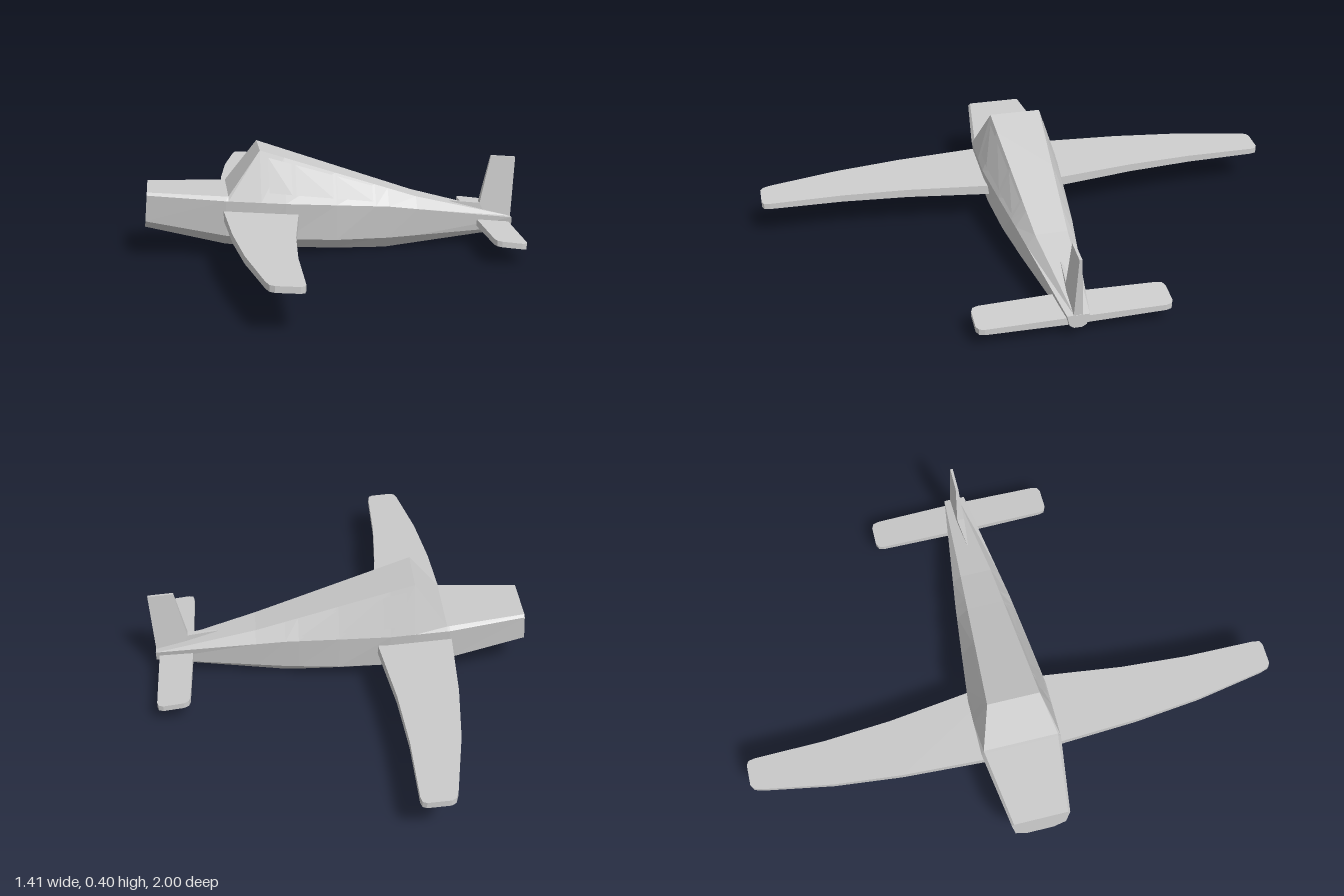
import * as THREE from 'three';

const material = new THREE.MeshStandardMaterial({ color: 0xcccccc, flatShading: true, side: THREE.DoubleSide });

// Lengthwise edges of the body as [x, y, half width]; the nose points to -x
const rails = {
  roof: [[-0.7, 0.255, 0.1], [-0.4, 0.24, 0.14], [-0.28, 0.4, 0.097], [0.15, 0.254, 0.07], [0.31, 0.2, 0.06], [0.69, 0.1, 0.015]],
  shoulder: [[-0.7, 0.245, 0.108], [-0.41, 0.225, 0.15], [-0.18, 0.207, 0.15], [0.2, 0.175, 0.107], [0.69, 0.1, 0.04]],
  chine: [[-0.7, 0.145, 0.095], [-0.41, 0.09, 0.132], [-0.2, 0.07, 0.132], [0, 0.055, 0.115], [0.2, 0.05, 0.09], [0.69, 0.06, 0.03]],
  keel: [[-0.7, 0.113, 0.05], [-0.41, 0.04, 0.06], [-0.2, 0.02, 0.058], [0, 0.008, 0.054], [0.19, 0.002, 0.045], [0.69, 0.05, 0.015]],
};

// Point on a rail at a given x
function at(rail, x) {
  let i = 0;
  while (i < rail.length - 2 && x > rail[i + 1][0]) i++;
  const [a, b] = [rail[i], rail[i + 1]];
  const t = (x - a[0]) / (b[0] - a[0]);
  return new THREE.Vector3(x, a[1] + (b[1] - a[1]) * t, a[2] + (b[2] - a[2]) * t);
}

function addMesh(parent, name, geometry) {
  const mesh = new THREE.Mesh(geometry, material);
  mesh.name = name;
  parent.add(mesh);
  return mesh;
}

function indexed(positions, index) {
  const g = new THREE.BufferGeometry();
  g.setAttribute('position', new THREE.Float32BufferAttribute(positions, 3));
  g.setIndex(index);
  const flat = g.toNonIndexed();
  flat.computeVertexNormals();
  return flat;
}

// Eight-sided body lofted through the rails
function bodyGeometry() {
  const xs = [-0.7, -0.41, -0.4, -0.28, -0.19, 0, 0.15, 0.2, 0.31, 0.69];
  const pos = [], index = [], n = 8;
  xs.forEach((x) => {
    const side = Object.values(rails).map((rail) => at(rail, x));
    const mirrored = side.map((p) => new THREE.Vector3(p.x, p.y, -p.z)).reverse();
    for (const p of [...side, ...mirrored]) {
      // slightly raked nose face
      const px = x === xs[0] ? -0.706 + (p.y - 0.113) * 0.08 : p.x;
      pos.push(px, p.y, p.z);
    }
  });
  for (let i = 0; i < xs.length - 1; i++) {
    for (let j = 0; j < n; j++) {
      const a = i * n + j, b = i * n + ((j + 1) % n);
      index.push(a, b, a + n, b, b + n, a + n);
    }
  }
  const last = (xs.length - 1) * n;
  for (let j = 1; j < n - 1; j++) {
    index.push(0, j + 1, j, last, last + j, last + j + 1);
  }
  return indexed(pos, index);
}

// Plate cut from an outline, its thickness (t from 0 to 1) shaped by a rule
function plate(outline, rule) {
  const shape = new THREE.Shape(outline.map(([u, v]) => new THREE.Vector2(u, v)));
  const g = new THREE.ExtrudeGeometry(shape, { depth: 1, bevelEnabled: false });
  const p = g.attributes.position;
  for (let i = 0; i < p.count; i++) {
    p.setXYZ(i, ...rule(p.getX(i), p.getY(i), p.getZ(i)));
  }
  g.computeVertexNormals();
  return g;
}

// Window pane lying just outside the cabin side
function paneGeometry(x0, x1, side) {
  const corner = (x, t) => {
    const p = at(rails.shoulder, x).lerp(at(rails.roof, x), t);
    return [p.x, p.y + 0.001, (p.z + 0.003) * side];
  };
  const pos = [corner(x0, 0.2), corner(x1, 0.2), corner(x1, 0.9), corner(x0, 0.9)].flat();
  return indexed(pos, side > 0 ? [0, 1, 3, 1, 2, 3] : [0, 3, 1, 1, 3, 2]);
}

export function createModel() {
  const model = new THREE.Group();
  model.name = 'airplane';
  addMesh(model, 'fuselage', bodyGeometry());

  // Outlines as [x, distance from the centreline]
  const wing = [
    [-0.422, 0], [-0.418, 0.15], [-0.402, 0.45], [-0.375, 0.7], [-0.328, 0.96], [-0.318, 0.99], [-0.302, 1],
    [-0.222, 1], [-0.208, 0.992], [-0.203, 0.97], [-0.2, 0.7], [-0.183, 0.45], [-0.145, 0.15], [-0.13, 0],
  ];
  const tail = [
    [0.548, 0], [0.552, 0.32], [0.558, 0.34], [0.575, 0.348], [0.65, 0.348], [0.667, 0.34], [0.673, 0.32], [0.677, 0],
  ];

  for (const side of [1, -1]) {
    const prefix = side > 0 ? 'left' : 'right';
    const mirror = (outline) => outline.map(([x, s]) => [x, -s * side]);

    // Wings thin towards the tips and tilt down to the rear
    addMesh(model, prefix + 'Wing', plate(mirror(wing), (x, s, t) => {
      const d = Math.abs(s);
      const top = 0.188 - 0.08 * (x + 0.42) - 0.01 * d;
      return [x, top - (1 - t) * (0.039 - 0.017 * d), -s];
    }));

    addMesh(model, prefix + 'Tailplane', plate(mirror(tail), (x, s, t) => {
      const d = Math.abs(s);
      const top = 0.102 - 0.14 * (x - 0.55) - 0.015 * d;
      return [x, top - (1 - t) * (0.028 - 0.02 * d), -s];
    }));

    // Cabin windows
    [[-0.25, -0.165], [-0.15, -0.01], [0.005, 0.14]].forEach(([a, b], i) => {
      addMesh(model, prefix + 'Window' + (i + 1), paneGeometry(a, b, side));
    });
  }

  // Upright fin with its low fillet ahead, wider at the base
  const fin = [[0.45, 0.165], [0.568, 0.155], [0.61, 0.338], [0.705, 0.33], [0.686, 0.06], [0.6, 0.09]];
  addMesh(model, 'fin', plate(fin, (x, y, t) => {
    const half = x < 0.5 ? 0.002 : 0.005 + Math.max(0, 0.33 - y) * 0.05;
    return [x, y, (t * 2 - 1) * half];
  }));

  return model;
}
